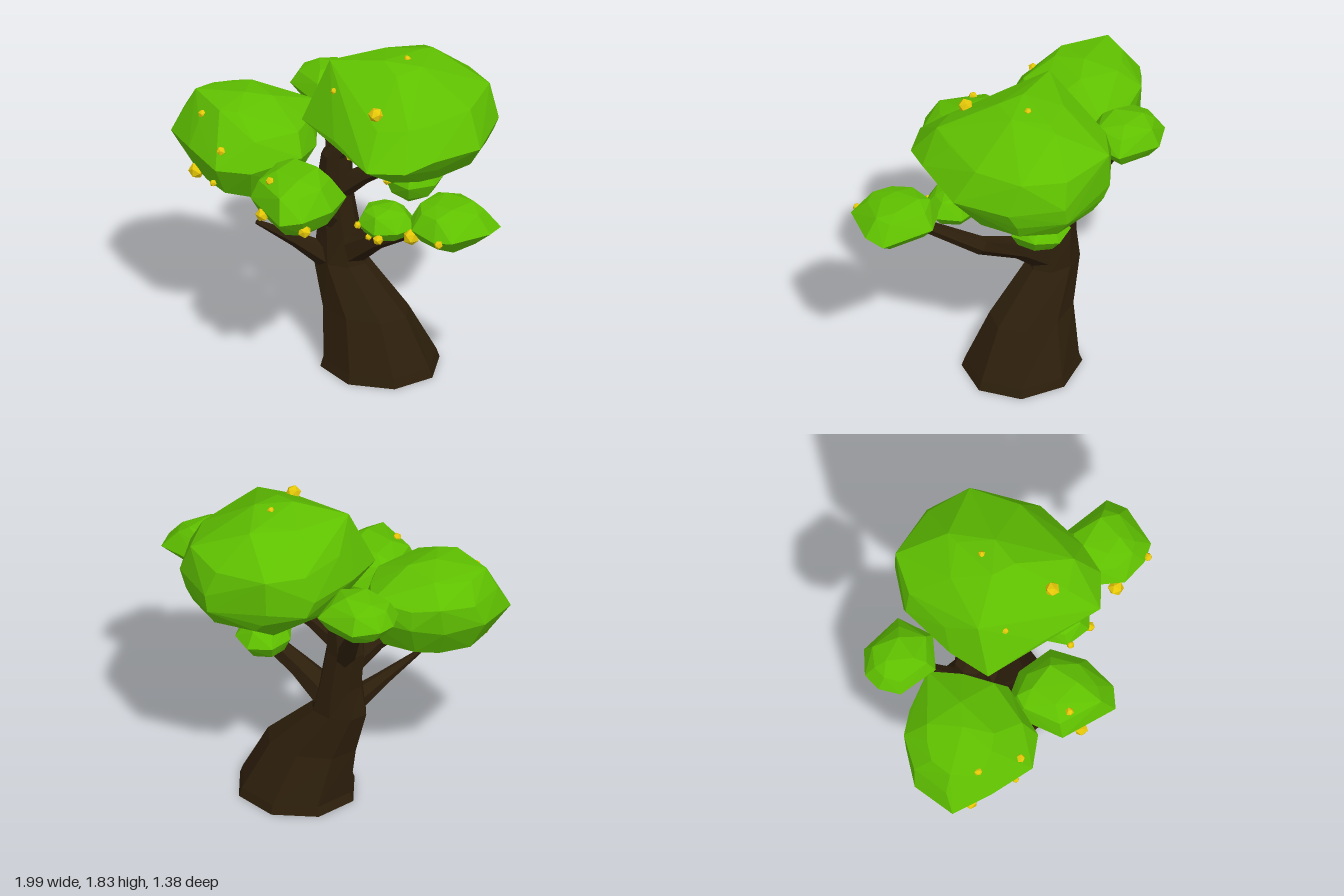
import * as THREE from 'three';
import { ConvexGeometry } from 'three/addons/geometries/ConvexGeometry.js';

const bark = new THREE.MeshStandardMaterial({ color: 0x2c1e0b });
bark.name = 'bark';
const leaf = new THREE.MeshStandardMaterial({ color: 0x5fc000 });
leaf.name = 'leaf';
const gold = new THREE.MeshStandardMaterial({ color: 0xe6c808 });
gold.name = 'goldFruit';

// Faceted limb through rings [x, y, z, rx, rz]; tilted rings follow the path
function limb(rings, sides, tilted) {
  const up = new THREE.Vector3(0, 1, 0);
  const centres = rings.map(r => new THREE.Vector3(r[0], r[1], r[2]));
  const loops = rings.map((r, k) => {
    const q = new THREE.Quaternion();
    if (tilted) {
      const a = centres[Math.max(k - 1, 0)];
      const b = centres[Math.min(k + 1, rings.length - 1)];
      q.setFromUnitVectors(up, b.clone().sub(a).normalize());
    }
    return Array.from({ length: sides }, (_, i) => {
      const t = (i / sides) * Math.PI * 2;
      return new THREE.Vector3(Math.cos(t) * r[3], 0, -Math.sin(t) * (r[4] ?? r[3]))
        .applyQuaternion(q).add(centres[k]);
    });
  });
  const tris = [];
  const last = rings.length - 1;
  for (let i = 0; i < sides; i++) {
    const j = (i + 1) % sides;
    for (let k = 0; k < last; k++) {
      const lo = loops[k], hi = loops[k + 1];
      tris.push(lo[i], lo[j], hi[j], lo[i], hi[j], hi[i]);
    }
    tris.push(centres[0], loops[0][j], loops[0][i]);
    tris.push(centres[last], loops[last][i], loops[last][j]);
  }
  const geometry = new THREE.BufferGeometry().setFromPoints(tris);
  geometry.computeVertexNormals();
  return geometry;
}

// Faceted leaf clump: outline [x, z] at the widest height, smaller copies
// [y, scale, centreX, centreZ] above and below it, and single corners [x, y, z]
function clump(outline, y, rings, corners = []) {
  const n = outline.length;
  const xs = outline.map(p => p[0]), zs = outline.map(p => p[1]);
  const cx = (Math.min(...xs) + Math.max(...xs)) / 2;
  const cz = (Math.min(...zs) + Math.max(...zs)) / 2;
  const size = Math.max(...xs) - cx;
  const points = outline.map(([x, z], i) =>
    new THREE.Vector3(x, y + Math.sin(i * 2.3) * size * 0.04, z));
  rings.forEach(([ry, s, rx, rz], k) => {
    const step = s < 0.5 ? 2 : 1;
    for (let i = k % step; i < n; i += step) {
      const [x, z] = outline[i];
      const wobble = Math.sin(i * 3.7 + k * 2.1);
      points.push(new THREE.Vector3(
        rx + (x - cx) * s * (1 + 0.04 * wobble),
        ry + wobble * size * 0.03,
        rz + (z - cz) * s * (1 + 0.04 * wobble)));
    }
  });
  corners.forEach(c => points.push(new THREE.Vector3(...c)));
  return new ConvexGeometry(points);
}

export function createModel() {
  const model = new THREE.Group();
  const add = (name, geometry, material) => {
    const mesh = new THREE.Mesh(geometry, material);
    mesh.name = name;
    model.add(mesh);
    return mesh;
  };

  // Leaning trunk
  add('trunk', limb([
    [0.09, 0, -0.12, 0.335, 0.31],
    [0.09, 0.05, -0.12, 0.315, 0.295],
    [0.005, 0.32, -0.11, 0.26, 0.19],
    [-0.16, 0.57, -0.115, 0.16, 0.125],
    [-0.17, 0.74, -0.115, 0.12, 0.115],
    [-0.195, 0.95, -0.11, 0.11, 0.1],
    [-0.18, 1.2, -0.11, 0.08, 0.09],
    [-0.08, 1.32, -0.12, 0.05, 0.05],
  ], 8, false), bark);

  // Branches, each ending inside its clump
  const branches = {
    rightBranch: [[-0.14, 0.6, -0.11, 0.1], [0.08, 0.76, -0.1, 0.065], [0.37, 0.925, -0.08, 0.05], [0.64, 1.11, 0.16, 0.03]],
    bareBranch: [[-0.2, 0.58, -0.06, 0.07], [-0.33, 0.7, 0.06, 0.04], [-0.48, 0.83, 0.21, 0.013]],
    leftBranch: [[-0.2, 0.84, -0.1, 0.07], [-0.33, 0.98, 0, 0.05], [-0.48, 1.08, 0.1, 0.035]],
    frontBranch: [[-0.18, 0.8, -0.08, 0.06], [-0.16, 0.93, 0.08, 0.045], [-0.1, 1.08, 0.3, 0.03]],
    backLeftBranch: [[-0.19, 0.88, -0.13, 0.06], [-0.29, 1.08, -0.25, 0.045], [-0.41, 1.34, -0.38, 0.03]],
    crownBranch: [[-0.17, 0.98, -0.1, 0.07], [-0.02, 1.1, -0.13, 0.05], [0.18, 1.22, -0.17, 0.035]],
  };
  for (const [name, path] of Object.entries(branches)) add(name, limb(path, 6, true), bark);

  // Leaf clumps
  add('mainCrown', clump(
    [[-0.28, -0.18], [-0.2, -0.5], [0, -0.68], [0.36, -0.69], [0.6, -0.5], [0.69, -0.18],
      [0.6, 0.13], [0.52, 0.29], [0.34, 0.39], [0.02, 0.22], [-0.29, 0.06]], 1.46,
    [[1.63, 0.84, 0.18, -0.22], [1.79, 0.33, 0.12, -0.22],
      [1.37, 0.88, 0.2, -0.21], [1.28, 0.7, 0.23, -0.25], [1.18, 0.42, 0.14, -0.25]],
    [[-0.19, 1.78, -0.06], [0.2, 1.785, -0.47], [0.1, 1.825, -0.14], [-0.13, 1.2, -0.17]]), leaf);
  add('leftCrown', clump(
    [[-1, 0.25], [-0.97, 0], [-0.8, -0.15], [-0.64, -0.23], [-0.38, -0.23], [-0.27, -0.05],
      [-0.23, 0.15], [-0.38, 0.42], [-0.56, 0.49], [-0.8, 0.38]], 1.25,
    [[1.385, 0.87, -0.62, 0.08], [1.49, 0.51, -0.69, 0.11], [1.06, 0.72, -0.6, 0.13], [1.01, 0.48, -0.55, 0.13]],
    [[-0.63, 1.525, 0.1]]), leaf);
  add('frontClump', clump(
    [[-0.33, 0.25], [-0.31, 0.53], [-0.02, 0.69], [0.08, 0.62], [0.14, 0.42], [0.1, 0.22],
      [-0.1, 0.14], [-0.27, 0.17]], 1.17,
    [[1.28, 0.76, -0.12, 0.41], [1.33, 0.42, -0.12, 0.38], [1.07, 0.8, -0.1, 0.39], [1.01, 0.5, -0.1, 0.37]]), leaf);
  add('rightClump', clump(
    [[0.53, 0.25], [0.62, 0.38], [0.78, 0.41], [0.88, 0.39], [0.99, 0.18], [0.98, 0.06],
      [0.7, -0.04], [0.56, 0.05]], 1.18,
    [[1.27, 0.72, 0.74, 0.18], [1.3, 0.42, 0.74, 0.16], [1.1, 0.68, 0.74, 0.19], [1.06, 0.4, 0.76, 0.18]]), leaf);
  add('backLeftClump', clump(
    [[-0.63, -0.42], [-0.6, -0.52], [-0.47, -0.6], [-0.23, -0.53], [-0.22, -0.32], [-0.38, -0.21],
      [-0.6, -0.3]], 1.4,
    [[1.48, 0.75, -0.43, -0.4], [1.52, 0.4, -0.44, -0.4], [1.32, 0.7, -0.42, -0.41], [1.28, 0.4, -0.42, -0.41]]), leaf);
  add('backClump', clump(
    [[0.03, -0.32], [0.07, -0.46], [0.2, -0.5], [0.31, -0.42], [0.34, -0.28], [0.24, -0.17],
      [0.09, -0.18]], 1.07,
    [[1.14, 0.75, 0.18, -0.32], [1.17, 0.4, 0.18, -0.3], [0.99, 0.72, 0.18, -0.32], [0.96, 0.45, 0.18, -0.3]]), leaf);
  add('lowClump', clump(
    [[0.16, 0.14], [0.2, 0.27], [0.34, 0.32], [0.45, 0.26], [0.49, 0.14], [0.4, 0.03],
      [0.23, 0.03]], 1.05,
    [[1.12, 0.72, 0.31, 0.17], [1.145, 0.4, 0.3, 0.16], [0.99, 0.72, 0.32, 0.17], [0.965, 0.4, 0.32, 0.16]]), leaf);

  // Small golden fruits [x, y, z, radius] on the clumps
  const fruits = [
    [-0.83, 1.06, 0.26, 0.045], [0.24, 1.67, 0.15, 0.042], [0.59, 1.12, 0.34, 0.045],
    [-0.2, 1.13, 0.58, 0.04], [0.06, 1.1, 0.57, 0.038], [0.36, 1.02, 0.31, 0.03],
    [0.81, 1.17, 0.41, 0.024], [-0.57, 1.33, 0.42, 0.026], [-0.78, 1.43, 0.28, 0.024],
    [-0.2, 1.3, 0.51, 0.024], [0.07, 1.36, 0.14, 0.024], [0.3, 1.28, 0.13, 0.024],
    [0.24, 1.22, 0.03, 0.022], [-0.09, 1.67, 0.05, 0.02], [0.18, 1.81, -0.25, 0.02],
    [-0.62, 1.12, 0.42, 0.02], [0.21, 1.05, 0.28, 0.022], [0.26, 0.98, 0.25, 0.02],
  ];
  const fruitShape = new THREE.IcosahedronGeometry(1, 0);
  fruits.forEach(([x, y, z, r], i) => {
    const fruit = add('fruit', fruitShape, gold);
    fruit.position.set(x, y, z);
    fruit.scale.setScalar(r);
    fruit.rotation.set(i, i * 1.7, 0);
  });

  return model;
}
